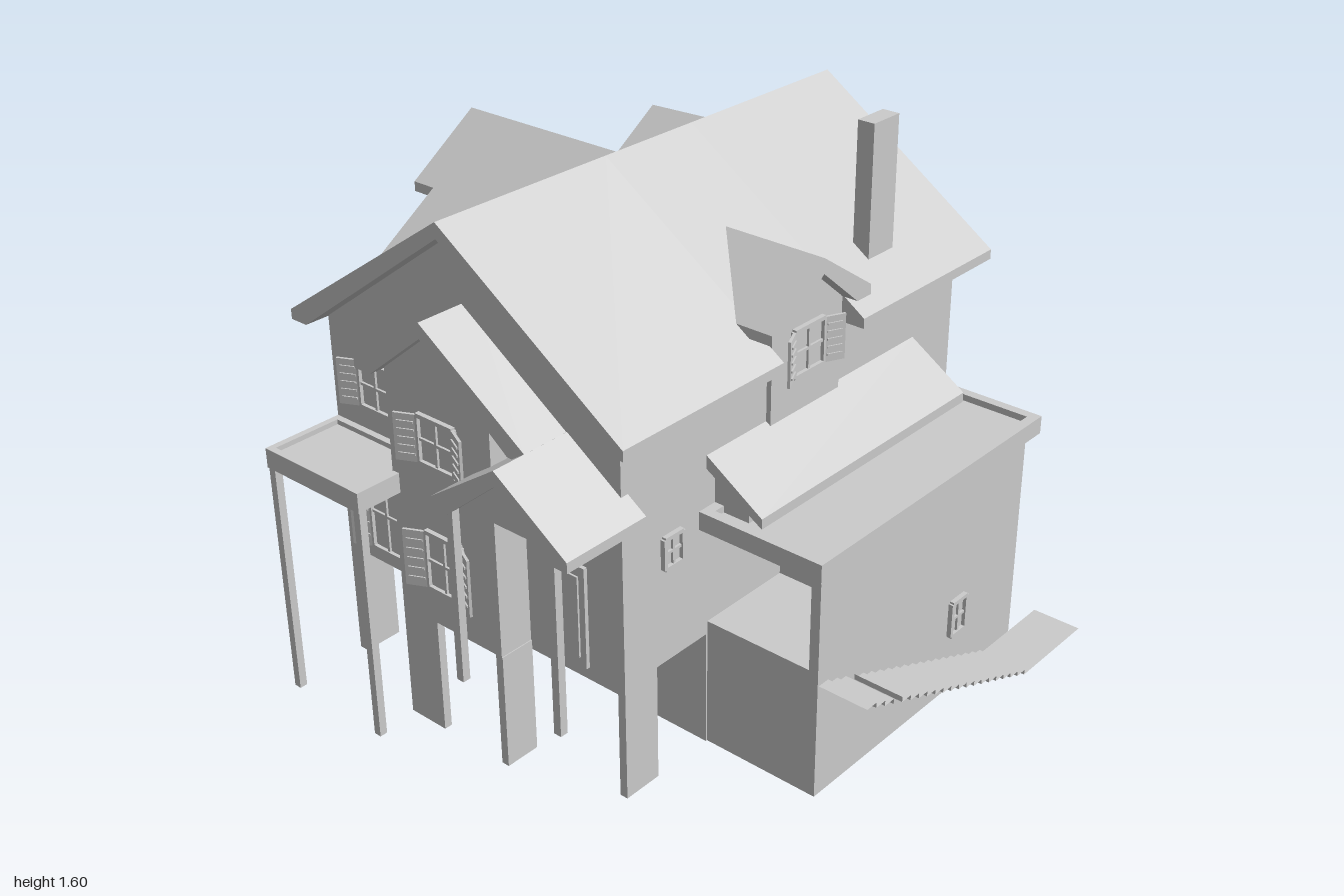
import * as THREE from 'three';

export function createModel() {
  const model = new THREE.Group();
  const grey = new THREE.MeshStandardMaterial({ color: 0xcccccc, side: THREE.DoubleSide });
  grey.name = 'light grey';
  const S = 0.68; // pitch shared by every gable

  function add(geo, name, parent = model) {
    const m = new THREE.Mesh(geo, grey);
    m.name = name;
    parent.add(m);
    return m;
  }
  // box given by its limits
  function box(name, x0, x1, y0, y1, z0, z1, parent) {
    const g = new THREE.BoxGeometry(x1 - x0, y1 - y0, z1 - z0);
    g.translate((x0 + x1) / 2, (y0 + y1) / 2, (z0 + z1) / 2);
    return add(g, name, parent);
  }
  // outline swept from a0 to a1 along z, or along x (then the outline runs along -z)
  function sweep(name, pts, a0, a1, axis = 'z') {
    const shape = new THREE.Shape(pts.map(p => new THREE.Vector2(p[0], p[1])));
    const g = new THREE.ExtrudeGeometry(shape, { depth: a1 - a0, bevelEnabled: false });
    g.translate(0, 0, a0);
    if (axis === 'x') g.rotateY(Math.PI / 2);
    return add(g, name);
  }
  // gable roof with boxed eaves; l and r are the widths either side of the ridge
  function roof(name, c, top, l, r, a0, a1, axis) {
    const yl = top - S * l, yr = top - S * r;
    sweep(name, [[c, top], [c - l, yl], [c - l, yl - 0.03], [c - l + 0.06, yl - 0.03],
      [c, top - 0.045], [c + r - 0.06, yr - 0.03], [c + r, yr - 0.03], [c + r, yr]], a0, a1, axis);
  }
  // gable-topped wall block under a roof
  function block(name, c, top, l, r, y0, a0, a1, axis) {
    const t = top - 0.03;
    sweep(name, [[c - l, y0], [c + r, y0], [c + r, t - S * r], [c, t], [c - l, t - S * l]], a0, a1, axis);
  }

  // main house, front part raised on piers
  block('mainHouse', -0.155, 1.54, 0.545, 0.54, 0, -0.7, 0.42);
  block('raisedFront', -0.155, 1.54, 0.545, 0.54, 0.36, 0.42, 0.745);
  roof('mainRoofBack', -0.155, 1.54, 0.615, 0.615, -0.78, -0.15);
  roof('mainRoofMiddle', -0.155, 1.54, 0.615, 0.54, -0.15, 0.2);
  roof('mainRoofFront', -0.155, 1.54, 0.615, 0.615, 0.2, 0.815);
  box('chimney', 0.285, 0.34, 0.95, 1.6, -0.445, -0.33);

  // front projection and its gable
  block('frontBay', -0.153, 1.297, 0.192, 0.195, 0.36, 0.74, 0.855);
  roof('frontBayRoof', -0.153, 1.297, 0.265, 0.358, 0.7, 0.893);
  box('pier', -0.7, -0.67, 0, 0.36, 0.62, 0.745);
  box('pier', 0.36, 0.385, 0, 0.36, 0.62, 0.745);
  box('pier', -0.345, -0.21, 0, 0.36, 0.83, 0.855);
  box('pier', 0.02, 0.045, 0, 0.36, 0.745, 0.855);

  // entrance gable on short posts
  roof('entranceRoof', 0.207, 1.055, 0.238, 0.238, 0.72, 1.0);
  block('entranceGable', 0.207, 1.055, 0.185, 0.185, 0.88, 0.74, 0.97);
  for (const x of [0.022, 0.375]) box('entrancePost', x, x + 0.024, 0.36, 0.88, 0.973, 0.997);
  box('frontDoor', 0.14, 0.26, 0.37, 0.68, 0.74, 0.757);
  box('frontDoorPanel', 0.16, 0.24, 0.4, 0.65, 0.755, 0.763);

  // flat porch roof on tall posts
  box('porchRoof', -0.7, -0.32, 0.73, 0.775, 0.745, 1.0);
  function rim(name, x0, x1, y0, y1, z0, z1, t = 0.02) {
    box(name, x0, x1, y0, y1, z0, z0 + t);
    box(name, x0, x1, y0, y1, z1 - t, z1);
    box(name, x0, x0 + t, y0, y1, z0, z1);
    box(name, x1 - t, x1, y0, y1, z0, z1);
  }
  rim('porchRoofRim', -0.7, -0.32, 0.775, 0.79, 0.745, 1.0);
  for (const x of [-0.697, -0.346]) box('porchPost', x, x + 0.024, 0, 0.73, 0.973, 0.997);

  // right wing with an open loggia at the front
  box('wingBase', 0.385, 0.76, 0, 0.4, -0.55, 0.415);
  box('wingBack', 0.385, 0.76, 0.4, 0.71, -0.55, 0.1);
  box('loggiaSide', 0.73, 0.76, 0.4, 0.71, 0.1, 0.415);
  box('loggiaLintel', 0.385, 0.76, 0.685, 0.71, 0.1, 0.415);
  box('wingRoof', 0.385, 0.785, 0.705, 0.74, -0.585, 0.45);
  rim('wingRoofRim', 0.385, 0.785, 0.74, 0.76, -0.585, 0.45, 0.03);
  sweep('wingLeanToRoof', [[0.385, 0.915], [0.385, 0.875], [0.57, 0.765], [0.57, 0.795]], -0.505, 0.42);
  sweep('wingLeanToWall', [[0.385, 0.74], [0.5, 0.74], [0.5, 0.82], [0.385, 0.89]], -0.47, 0.385);

  // right dormer (outline coordinate is -z)
  block('rightDormer', -0.025, 1.355, 0.15, 0.15, 0.905, 0.15, 0.4, 'x');
  roof('rightDormerRoof', -0.025, 1.355, 0.215, 0.215, 0.11, 0.45, 'x');

  // left bay rising into a dormer
  block('leftBay', -0.02, 1.47, 0.185, 0.185, 0, -0.78, -0.4, 'x');
  roof('leftBayRoof', -0.02, 1.47, 0.24, 0.24, -0.868, -0.23, 'x');
  for (const z of [-0.165, 0.175]) box('bracket', -0.815, -0.77, 1.15, 1.32, z, z + 0.03);
  box('leftPlinth', -0.77, -0.69, 0, 0.36, -0.56, 0.42);
  box('leftOriel', -0.77, -0.69, 0.36, 0.79, 0.33, 0.6);
  sweep('leftOrielRoof', [[-0.69, 0.86], [-0.825, 0.768], [-0.825, 0.735], [-0.69, 0.8]], 0.29, 0.64);

  // two tent dormers on the left roof slope
  for (const zc of [-0.435, 0.455]) {
    const g = new THREE.BufferGeometry();
    const o = -0.555, w = 0.25, y = 1.43, e = 1.265;
    const a = [o, y, zc], b = [-0.275, y + 0.01, zc], l = [o, e, zc - w], r = [o, e, zc + w];
    const recess = [[-0.47, y, zc], [-0.47, e, zc - w], [-0.47, e, zc + w]];
    g.setAttribute('position', new THREE.Float32BufferAttribute(
      [a, r, b, a, b, l, ...recess].flat(), 3));
    g.computeVertexNormals();
    add(g, 'tentDormer');
  }

  // back projection, balcony porch and decks
  block('backBay', -0.04, 1.37, 0.17, 0.32, 0.735, -0.805, -0.69);
  roof('backBayRoof', -0.04, 1.37, 0.235, 0.38, -0.857, -0.7);
  roof('balconyRoof', -0.21, 1.25, 0.19, 0.19, -1.0, -0.75);
  for (const x of [-0.345, -0.105]) box('balconyPost', x, x + 0.028, 0.02, 1.14, -0.935, -0.907);
  for (const y of [0.345, 0.735]) box('balconyDeck', -0.35, -0.07, y, y + 0.05, -0.935, -0.69);
  for (const y of [0.02, 0.4, 0.79]) {
    const z = y > 0.7 ? -0.815 : -0.715;
    box('balconyDoor', -0.27, -0.15, y, y + 0.26, z, z + 0.03);
    box('balconyDoorPanel', -0.25, -0.17, y + 0.03, y + 0.23, z - 0.006, z);
  }

  // folded side stairs running down to the back, each ending in a landing
  function stairs(x0, x1) {
    const n = 20, dz = 0.8 / n, dy = 0.33 / n, p = [];
    const quad = (a, b) => p.push(x0, ...a, x1, ...a, x1, ...b, x0, ...a, x1, ...b, x0, ...b);
    for (let i = 0; i < n; i++) {
      const y = 0.36 - i * dy, z = 0.41 - i * dz;
      if (i !== 3) quad([y, z], [y, z - dz]);
      quad([y, z - dz], [y - dy, z - dz]);
    }
    quad([0.03, -0.39], [0.03, -0.7]);
    const g = new THREE.BufferGeometry();
    g.setAttribute('position', new THREE.Float32BufferAttribute(p, 3));
    g.computeVertexNormals();
    add(g, 'sideStairs');
  }
  stairs(-0.92, -0.77);
  stairs(0.76, 0.915);

  // framed window with optional half-open louvred shutters, facing local +z
  function windowUnit(x, y, z, turn, w, h, shutters = true) {
    const g = new THREE.Group();
    g.name = shutters ? 'shutteredWindow' : 'window';
    g.position.set(x, y, z);
    g.rotation.y = turn;
    const a = w / 2, b = h / 2, t = 0.012;
    box('pane', -a, a, -b, b, 0, 0.003, g);
    for (const s of [-1, 1]) {
      box('frameSide', s * a - t / 2, s * a + t / 2, -b, b, 0, 0.014, g);
      box('frameRail', -a, a, s * b - t / 2, s * b + t / 2, 0, 0.014, g);
      if (!shutters) continue;
      const leaf = new THREE.Group();
      leaf.name = 'shutter';
      leaf.position.set(s * a, 0, 0.004);
      leaf.rotation.y = -s * 0.45;
      const c = s * w * 0.25, hw = w * 0.25;
      box('leaf', c - hw, c + hw, -b, b, 0, 0.008, leaf);
      for (let i = 0; i < 5; i++) {
        const v = -b + h * (0.16 + i * 0.17);
        box('slat', c - hw * 0.7, c + hw * 0.7, v - 0.003, v + 0.003, 0.008, 0.012, leaf);
      }
      g.add(leaf);
    }
    box('mullion', -0.004, 0.004, -b, b, 0, 0.01, g);
    box('glazingBar', -a, a, -0.004, 0.004, 0, 0.01, g);
    model.add(g);
  }
  const H = Math.PI / 2;
  windowUnit(-0.515, 0.935, 0.745, 0, 0.13, 0.14);
  windowUnit(-0.515, 0.53, 0.745, 0, 0.13, 0.24);
  windowUnit(-0.153, 0.935, 0.855, 0, 0.135, 0.14);
  windowUnit(-0.153, 0.565, 0.855, 0, 0.135, 0.175);
  for (const y of [0.17, 0.53, 0.92]) {
    windowUnit(-0.53, y, -0.7, 2 * H, 0.13, 0.165);
    windowUnit(0.14, y, y > 0.7 ? -0.805 : -0.7, 2 * H, y > 0.7 ? 0.06 : 0.12, y > 0.7 ? 0.08 : 0.165, y < 0.7);
  }
  windowUnit(-0.78, 0.92, 0.02, -H, 0.14, 0.18);
  windowUnit(-0.78, 0.565, 0.02, -H, 0.14, 0.17);
  windowUnit(-0.77, 0.565, 0.465, -H, 0.12, 0.17, false);
  windowUnit(0.4, 1.085, 0.025, H, 0.13, 0.135);
  windowUnit(0.76, 0.25, -0.24, H, 0.07, 0.11, false);
  windowUnit(0.385, 0.7, 0.56, H, 0.07, 0.09, false);
  windowUnit(0.57, 0.5, -0.55, 2 * H, 0.06, 0.09, false);
  return model;
}
